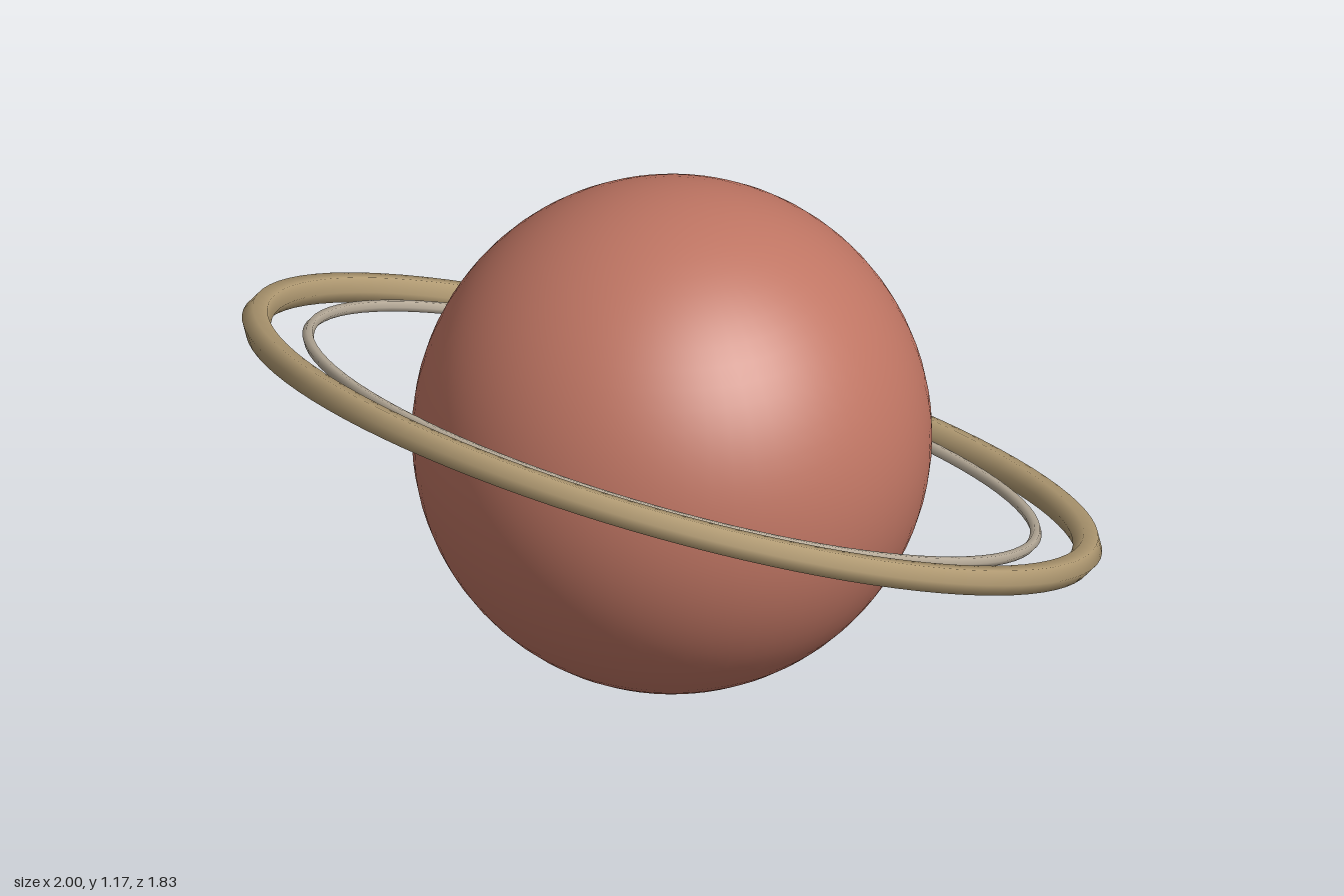
import * as THREE from 'three';

const RADIUS = 0.583;
const TILT = THREE.MathUtils.degToRad(24);

function material(name, color) {
  const m = new THREE.MeshStandardMaterial({ color });
  m.name = name;
  return m;
}

// A thin hoop lying flat in the plane of its parent group
function hoop(name, radius, tube, sides, mat) {
  const geometry = new THREE.TorusGeometry(radius, tube, sides, 96);
  geometry.rotateX(Math.PI / 2);
  const mesh = new THREE.Mesh(geometry, mat);
  mesh.name = name;
  return mesh;
}

export function createModel() {
  const model = new THREE.Group();
  model.name = 'ringedPlanet';

  // Planet body, resting on the ground
  const planet = new THREE.Mesh(
    new THREE.SphereGeometry(RADIUS, 64, 40),
    material('terracotta', 0xbf7563)
  );
  planet.name = 'planet';
  planet.position.y = RADIUS;
  model.add(planet);

  // Both rings share one tilt, raised towards the front
  const rings = new THREE.Group();
  rings.name = 'rings';
  rings.position.y = RADIUS;
  rings.rotation.x = -TILT;
  rings.add(
    hoop('outerRing', 0.966, 0.034, 6, material('sand', 0xb29b73)),
    hoop('innerRing', 0.846, 0.0135, 6, material('paleStone', 0xb9ad9b))
  );
  model.add(rings);

  return model;
}
